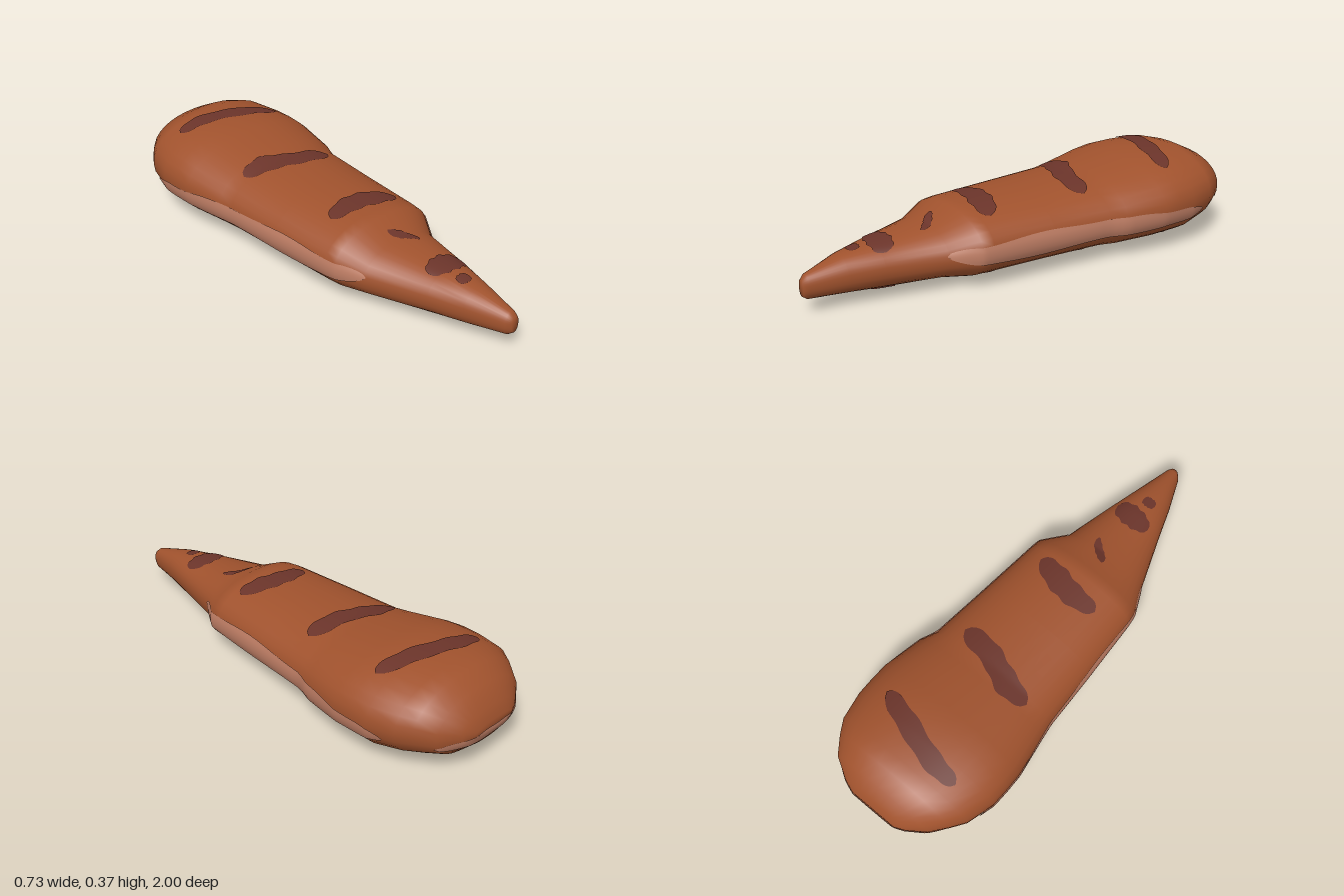
import * as THREE from 'three';

// Cross-sections from tip to rounded back: z, min x, max x, min y, max y
const SECTIONS = [
  [1.0, -0.035, 0.005, 0.075, 0.145],
  [0.98, -0.052, 0.015, 0.06, 0.162],
  [0.83, -0.112, 0.052, 0.046, 0.2],
  [0.69, -0.16, 0.09, 0.035, 0.22],
  [0.44, -0.25, 0.155, 0.02, 0.24],
  [0.33, -0.3, 0.23, 0.011, 0.293],
  [0.28, -0.306, 0.236, 0.01, 0.298],
  [0.0, -0.318, 0.265, 0.01, 0.305],
  [-0.27, -0.325, 0.295, 0.008, 0.314],
  [-0.34, -0.335, 0.325, 0.007, 0.325],
  [-0.52, -0.364, 0.36, 0.004, 0.355],
  [-0.6, -0.365, 0.361, 0.002, 0.366],
  [-0.68, -0.362, 0.36, 0.002, 0.367],
  [-0.8, -0.33, 0.335, 0.028, 0.366],
  [-0.86, -0.288, 0.3, 0.043, 0.35],
  [-0.93, -0.23, 0.25, 0.063, 0.315],
  [-0.98, -0.155, 0.165, 0.11, 0.25],
  [-1.0, -0.11, 0.11, 0.16, 0.2],
];
const SIDES = 32;
const POWER = 2.2; // slightly squared ellipse

function makeGeometry(positions, index) {
  const geo = new THREE.BufferGeometry();
  geo.setAttribute('position', new THREE.Float32BufferAttribute(positions, 3));
  geo.setIndex(index);
  geo.computeVertexNormals();
  return geo;
}

// Smooth loft through the sections, closed at both ends
function bodyGeometry() {
  const pos = [], idx = [];
  const bend = (v) => Math.sign(v) * Math.abs(v) ** (2 / POWER);
  for (const [z, x0, x1, y0, y1] of SECTIONS) {
    for (let j = 0; j < SIDES; j++) {
      const t = (j / SIDES) * Math.PI * 2;
      pos.push((x0 + x1) / 2 + ((x1 - x0) / 2) * bend(Math.cos(t)),
        (y0 + y1) / 2 + ((y1 - y0) / 2) * bend(Math.sin(t)), z);
    }
  }
  const last = SECTIONS.length - 1;
  const front = pos.length / 3, back = front + 1;
  for (const [z, x0, x1, y0, y1] of [SECTIONS[0], SECTIONS[last]]) {
    pos.push((x0 + x1) / 2, (y0 + y1) / 2, z);
  }
  for (let j = 0; j < SIDES; j++) {
    const k = (j + 1) % SIDES;
    for (let i = 0; i < last; i++) {
      const a = i * SIDES + j, b = i * SIDES + k;
      idx.push(a, a + SIDES, b, b, a + SIDES, b + SIDES);
    }
    idx.push(front, j, k, back, last * SIDES + k, last * SIDES + j);
  }
  return makeGeometry(pos, idx);
}

// Centre and half sizes of the body at a given z
function sectionAt(z) {
  let i = 0;
  while (i < SECTIONS.length - 2 && SECTIONS[i + 1][0] > z) i++;
  const a = SECTIONS[i], b = SECTIONS[i + 1];
  const t = THREE.MathUtils.clamp((a[0] - z) / (a[0] - b[0]), 0, 1);
  const [, x0, x1, y0, y1] = a.map((v, k) => v + (b[k] - v) * t);
  return { cx: (x0 + x1) / 2, cy: (y0 + y1) / 2, rx: (x1 - x0) / 2, ry: (y1 - y0) / 2 };
}

function isInside([x, y, z]) {
  if (Math.abs(z) > 1) return false;
  const s = sectionAt(z);
  return Math.abs((x - s.cx) / s.rx) ** POWER + Math.abs((y - s.cy) / s.ry) ** POWER < 1;
}

// Move a point along one axis (0, 1, 2) until it meets the skin
function project(p, axis, sign) {
  const s = sectionAt(p[2]);
  let inner = axis === 0 ? s.cx : axis === 1 ? s.cy : -0.6;
  let outer = inner + sign * 0.6;
  for (let n = 0; n < 24; n++) {
    const mid = (inner + outer) / 2;
    p[axis] = mid;
    if (isInside(p)) inner = mid; else outer = mid;
  }
  p[axis] = inner + sign * 0.004;
  return p;
}

// Rounded band laid on the skin; path points are [along, across, half width]
function bandGeometry(path, place, steps = 32, rows = 6) {
  const pos = [], idx = [];
  const curve = new THREE.CatmullRomCurve3(path.map((p) => new THREE.Vector3(...p)));
  for (let i = 0; i <= steps; i++) {
    const u = i / steps;
    const c = curve.getPoint(u);
    const wobble = 1 + 0.08 * Math.sin(u * 23);
    const half = c.z * wobble * Math.sqrt(Math.max(0.002, 1 - Math.abs(2 * u - 1) ** 5));
    for (let j = 0; j <= rows; j++) {
      pos.push(...place(c.x, c.y + half * ((2 * j) / rows - 1)));
      if (i < steps && j < rows) {
        const a = i * (rows + 1) + j, b = a + rows + 1;
        idx.push(a, a + 1, b, b, a + 1, b + 1);
      }
    }
  }
  return makeGeometry(pos, idx);
}

// Dark markings in x, z
const STRIPES = [
  [[-0.22, -0.735, 0.035], [-0.1, -0.725, 0.042], [0.08, -0.67, 0.045], [0.24, -0.62, 0.042]],
  [[-0.22, -0.3, 0.04], [-0.1, -0.285, 0.055], [0.02, -0.235, 0.05], [0.18, -0.21, 0.052]],
  [[-0.185, 0.19, 0.04], [-0.07, 0.185, 0.05], [0.03, 0.205, 0.055], [0.14, 0.235, 0.042]],
  [[-0.07, 0.4, 0.02], [-0.025, 0.43, 0.024], [0.025, 0.475, 0.026]],
  [[-0.115, 0.655, 0.035], [-0.03, 0.66, 0.052], [0.06, 0.67, 0.045]],
  [[-0.07, 0.765, 0.022], [-0.04, 0.765, 0.025], [-0.01, 0.765, 0.022]],
];
// Pale bands: sides in z, y and back in x, y
const SIDE_BAND = [[0.45, 0.155, 0.03], [0.28, 0.15, 0.045], [-0.05, 0.152, 0.047],
  [-0.4, 0.152, 0.04], [-0.6, 0.15, 0.035], [-0.75, 0.15, 0.028]];
const BACK_BAND = [[-0.27, 0.145, 0.02], [0, 0.155, 0.024], [0.25, 0.145, 0.02]];

export function createModel() {
  const bodyBrown = new THREE.MeshStandardMaterial({ color: 0xa0522d });
  bodyBrown.name = 'bodyBrown';
  const darkBrown = new THREE.MeshStandardMaterial({ color: 0x6b342a, side: THREE.DoubleSide });
  darkBrown.name = 'darkBrown';
  const paleBrown = new THREE.MeshStandardMaterial({ color: 0xbe7d64, side: THREE.DoubleSide });
  paleBrown.name = 'paleBrown';

  const model = new THREE.Group();
  const add = (name, geometry, material) => {
    const mesh = new THREE.Mesh(geometry, material);
    mesh.name = name;
    model.add(mesh);
  };

  add('body', bodyGeometry(), bodyBrown);

  // Markings repeat above and below, pale bands on both sides
  for (const sign of [1, -1]) {
    STRIPES.forEach((path, i) => add(`${sign > 0 ? 'top' : 'bottom'}Stripe${i + 1}`,
      bandGeometry(path, (x, z) => project([x, 0, z], 1, sign)), darkBrown));
    add(sign > 0 ? 'leftSideBand' : 'rightSideBand',
      bandGeometry(SIDE_BAND, (z, y) => project([0, y, z], 0, sign), 64), paleBrown);
  }
  add('backBand', bandGeometry(BACK_BAND, (x, y) => project([x, y, -0.6], 2, -1)), paleBrown);
  return model;
}
